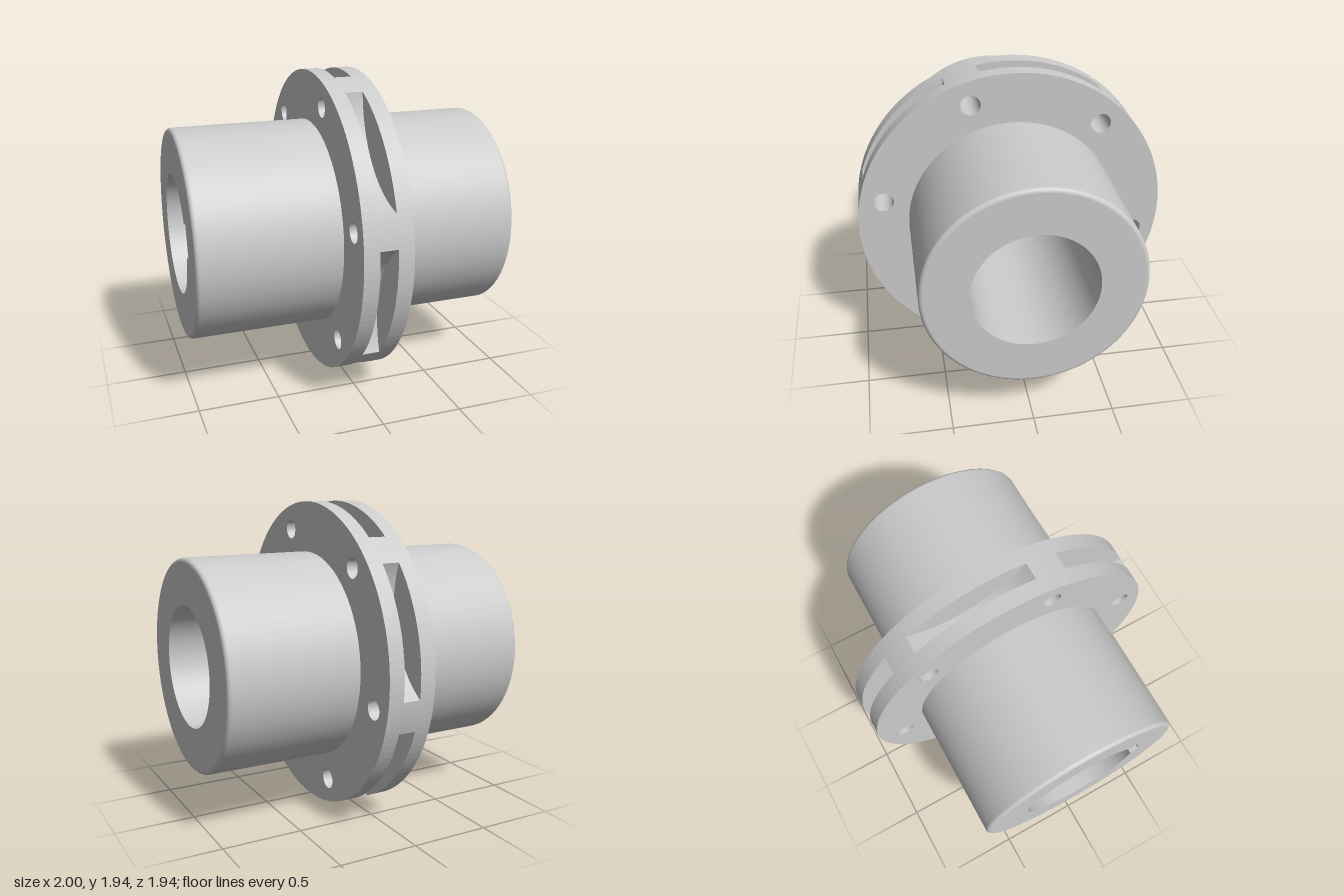
import * as THREE from 'three';

const AXIS_Y = 0.972, FLANGE_R = 0.972, HUB_R = 0.658, BORE_R = 0.375;
const FILLET = 0.025, CORE_R = HUB_R - FILLET;
const BOLT_R = 0.824, BOLT_HOLE_R = 0.0625;
const rad = THREE.MathUtils.degToRad;
const BOLT_START = rad(47.8), STEP = Math.PI / 3, KEY_ANGLE = rad(167.8);
const PAD_HALF = rad(6);

const material = new THREE.MeshStandardMaterial({ color: 0xcccccc });
const polar = (r, a) => [r * Math.cos(a), r * Math.sin(a)];

const circle = (Type, r, cx = 0, cy = 0) => new Type().absarc(cx, cy, r, 0, Math.PI * 2, false);

// Extrude a cross-section along the shaft axis from x0 to x1
function extrudeX(name, shape, x0, x1, curveSegments = 64) {
  const geo = new THREE.ExtrudeGeometry(shape, { depth: x1 - x0, bevelEnabled: false, curveSegments });
  geo.translate(0, 0, x0).rotateY(Math.PI / 2);
  const mesh = new THREE.Mesh(geo, material);
  mesh.name = name;
  return mesh;
}

function addBoltHoles(shape) {
  for (let i = 0; i < 6; i++) {
    const [x, y] = polar(BOLT_R, BOLT_START + i * STEP);
    shape.holes.push(circle(THREE.Path, BOLT_HOLE_R, x, y));
  }
  return shape;
}

// Round bore with a rectangular keyway cut into its wall
function keyedBore() {
  const half = 0.1, top = 0.42, b = Math.asin(half / BORE_R);
  const path = new THREE.Path();
  path.absarc(0, 0, BORE_R, KEY_ANGLE + b, KEY_ANGLE - b + Math.PI * 2, false);
  const r = Math.hypot(top, half), c = Math.atan2(half, top);
  path.lineTo(...polar(r, KEY_ANGLE - c));
  path.lineTo(...polar(r, KEY_ANGLE + c));
  path.closePath();
  return path;
}

// Spacer outline: six narrow pads at the bolts, concave scallops between
function spacerShape() {
  const shape = new THREE.Shape();
  const gap = STEP / 2 - PAD_HALF, bend = rad(40);
  const R = FLANGE_R * Math.sin(gap) / Math.sin(bend);
  const centre = FLANGE_R * Math.cos(gap) + R * Math.cos(bend);
  for (let i = 0; i < 6; i++) {
    const a = BOLT_START + i * STEP, m = a + STEP / 2;
    shape.absarc(0, 0, FLANGE_R, a - PAD_HALF, a + PAD_HALF, false);
    shape.absarc(...polar(centre, m), R, m + Math.PI + bend, m + Math.PI - bend, true);
  }
  shape.holes.push(circle(THREE.Path, BORE_R));
  return addBoltHoles(shape);
}

// Hub half: bored core, smooth rounded sleeve and drilled flange
function hubHalf(name, side, inner, outer, bore) {
  const group = new THREE.Group();
  group.name = name;
  const span = (a, b) => [Math.min(a, b), Math.max(a, b)];

  const core = circle(THREE.Shape, CORE_R);
  core.holes.push(bore);
  group.add(extrudeX('hubCore', core, ...span(side, inner)));

  const profile = [new THREE.Vector2(HUB_R, outer)];
  for (let i = 0; i <= 6; i++) {
    const t = i / 6 * Math.PI / 2;
    profile.push(new THREE.Vector2(CORE_R + FILLET * Math.cos(t), side * (1 - FILLET + FILLET * Math.sin(t))));
  }
  if (side < 0) profile.reverse();
  const sleeve = new THREE.Mesh(new THREE.LatheGeometry(profile, 72).rotateZ(-Math.PI / 2), material);
  sleeve.name = 'hubSleeve';
  group.add(sleeve);

  const flange = circle(THREE.Shape, FLANGE_R);
  flange.holes.push(circle(THREE.Path, CORE_R));
  group.add(extrudeX('flange', addBoltHoles(flange), ...span(inner, outer)));
  return group;
}

export function createModel() {
  const model = new THREE.Group();
  model.name = 'flangedCoupling';
  model.add(
    hubHalf('keyedHub', -1, -0.03, -0.128, keyedBore()),
    hubHalf('plainHub', 1, 0.08, 0.178, circle(THREE.Path, BORE_R)),
    extrudeX('scallopedSpacer', spacerShape(), -0.03, 0.08, 48),
  );
  model.position.y = AXIS_Y;
  return model;
}
